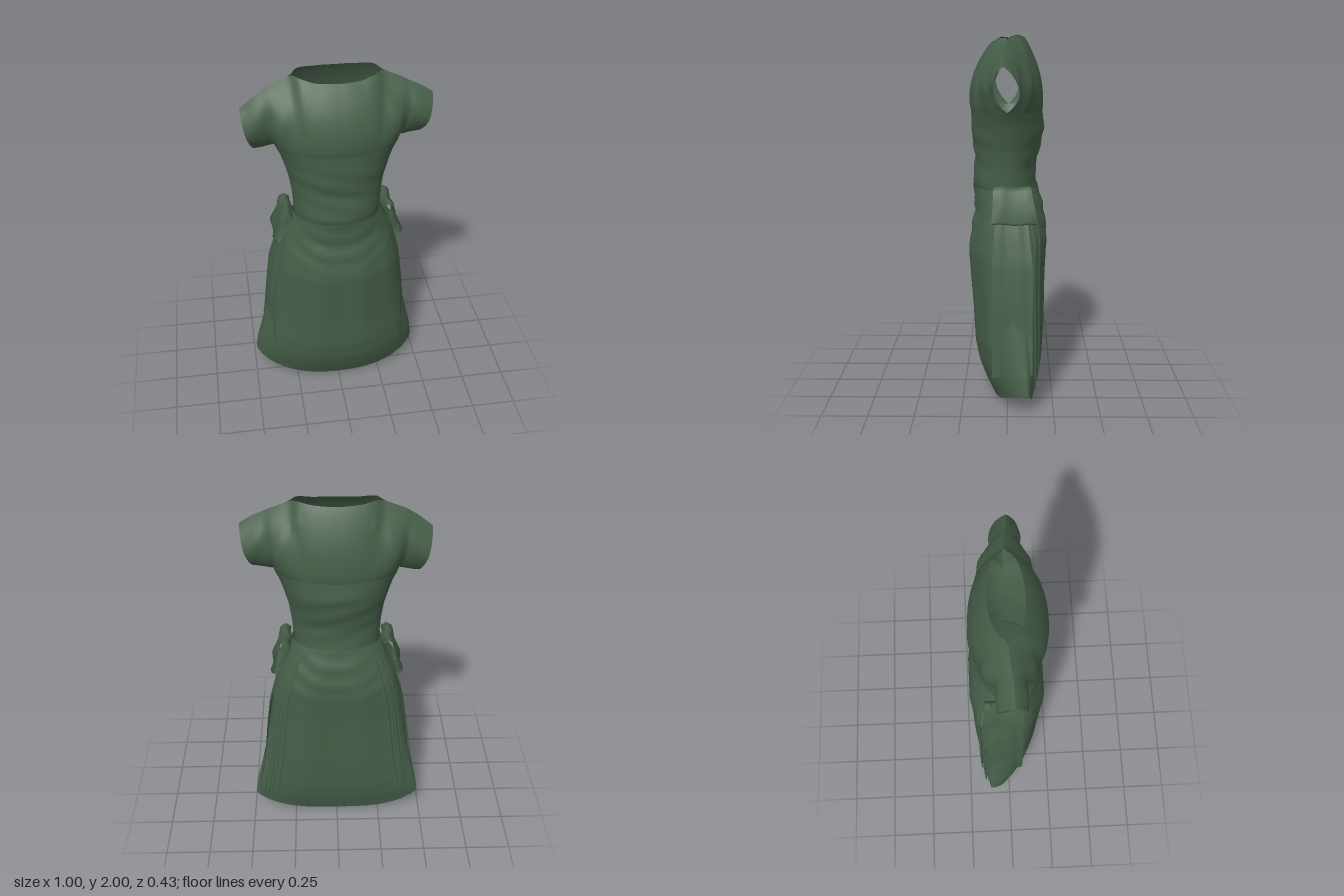
import * as THREE from 'three';

const cloth = new THREE.MeshStandardMaterial({ color: 0x465f49, side: THREE.DoubleSide });
cloth.name = 'forest green cloth';

// Piecewise linear lookup in [key, value] pairs with rising keys
function look(table, k) {
  if (k <= table[0][0]) return table[0][1];
  for (let i = 1; i < table.length; i++) {
    const [a, va] = table[i - 1], [b, vb] = table[i];
    if (k <= b) return va + (vb - va) * (k - a) / (b - a);
  }
  return table[table.length - 1][1];
}

// Smooth sheet from a rule f(u, v) -> [x, y, z]; wrap joins the u ends
function sheet(name, nu, nv, f, wrap = false) {
  const pos = [], idx = [], cols = wrap ? nu : nu + 1;
  for (let j = 0; j <= nv; j++)
    for (let i = 0; i < cols; i++) pos.push(...f(i / nu, j / nv));
  for (let j = 0; j < nv; j++)
    for (let i = 0; i < nu; i++) {
      const a = j * cols + i, b = j * cols + (i + 1) % cols;
      idx.push(a, a + cols, b, b, a + cols, b + cols);
    }
  const g = new THREE.BufferGeometry();
  g.setAttribute('position', new THREE.Float32BufferAttribute(pos, 3));
  g.setIndex(idx);
  g.computeVertexNormals();
  const mesh = new THREE.Mesh(g, cloth);
  mesh.name = name;
  return mesh;
}

const { lerp, smoothstep } = THREE.MathUtils;
const arc = (x, w) => Math.sqrt(Math.max(0, 1 - (x / w) ** 2));
const spow = (v, p) => Math.sign(v) * Math.abs(v) ** p;

// Body profiles by height: half width, front depth, back depth
const waistW = [[1.14, 0.235], [1.2, 0.238], [1.3, 0.245], [1.4, 0.26], [1.5, 0.288], [1.55, 0.305], [1.6, 0.33]];
const waistF = [[1.14, 0.175], [1.2, 0.195], [1.27, 0.19], [1.35, 0.185], [1.45, 0.2], [1.6, 0.205]];
const waistB = [[1.14, 0.165], [1.22, 0.155], [1.3, 0.155], [1.4, 0.18], [1.5, 0.2], [1.6, 0.19]];
const skirtW = [[0, 0.49], [0.1, 0.478], [0.2, 0.455], [0.4, 0.414], [0.6, 0.386], [0.8, 0.36], [0.95, 0.325], [1.08, 0.28], [1.18, 0.245]];
const skirtF = [[0, 0.085], [0.08, 0.125], [0.18, 0.165], [0.3, 0.188], [0.5, 0.198], [0.7, 0.213], [0.82, 0.222], [0.95, 0.205], [1.05, 0.185], [1.18, 0.195]];
const skirtB = [[0, 0.14], [0.1, 0.17], [0.2, 0.188], [0.4, 0.2], [0.7, 0.205], [0.92, 0.218], [1.05, 0.2], [1.18, 0.165]];
// The widest line of the skirt drifts back towards the hem
const skirtMid = [[0, -0.11], [0.2, -0.085], [0.6, -0.05], [0.9, -0.025], [1.18, 0]];

// Skirt section: oval front, squarer back
function skirtPoint(k, a, extra = 0) {
  const c = Math.cos(a), s = Math.sin(a), mid = look(skirtMid, k), front = s > 0;
  const p = front ? 0.95 : look([[0.9, 0.78], [1.18, 0.95]], k);
  const d = front ? look(skirtF, k) - mid : look(skirtB, k) + mid;
  return [look(skirtW, k) * spow(c, p), mid + (d + extra) * spow(s, p)];
}

// Yoke and sleeves: a front and a back panel meeting along shoulder and underarm
const topFront = [[0, 1.96], [0.12, 1.965], [0.22, 1.99], [0.35, 1.935], [0.43, 1.89], [0.5, 1.84]];
const topBack = [[0, 1.985], [0.12, 1.99], [0.2, 2], [0.22, 1.99], [0.35, 1.935], [0.43, 1.89], [0.5, 1.84]];
const puff = [[0, 0.045], [0.2, 0.05], [0.3, 0.072], [0.4, 0.08], [0.5, 0.07]];

function yoke(side) {
  const front = side > 0;
  return sheet(front ? 'frontYoke' : 'backYoke', 48, 18, (u, t) => {
    const s = u * 2 - 1, xb = 0.44 * s, xt = 0.5 * s;
    const end = smoothstep(Math.abs(s), 0.7, 1) * Math.sign(s);
    const x = lerp(xb, xt, t) + 0.012 * end * Math.sin(Math.PI * t), ax = Math.abs(x);
    const y = lerp(1.6 + 0.018 * end, look(front ? topFront : topBack, Math.abs(xt)) + 0.012 * end, t);
    const low = (front ? 0.205 : 0.19) * arc(xb, 0.33);
    const high = 0.092 * arc(xt, 0.23);
    const bulge = look(puff, ax) * (front || ax > 0.2 ? 1 : 0.75);
    const crease = 0.004 * Math.sin(ax * 45 + y * 22) * Math.sin(Math.PI * t) * smoothstep(ax, 0.18, 0.3);
    const ridge = 0.02 * t * smoothstep(ax, 0.25, 0.45);
    return [x, y, ridge + side * (lerp(low, high, t) + bulge * Math.sin(Math.PI * t) ** 0.8 + crease)];
  });
}

function createModel() {
  const dress = new THREE.Group();
  dress.name = 'dress';
  dress.add(yoke(1), yoke(-1));

  // Fitted bodice with slight horizontal creases
  dress.add(sheet('bodice', 72, 24, (u, v) => {
    const a = u * Math.PI * 2, y = lerp(1.6, 1.14, v), s = Math.sin(a);
    const d = look(s > 0 ? waistF : waistB, y);
    const crease = 0.003 * Math.sin(y * 55 + 4 * Math.cos(a)) * Math.sin(Math.PI * v);
    return [look(waistW, y) * Math.cos(a), y, s * (d + crease)];
  }, true));

  // Skirt with draped waist folds, soft vertical folds and a hem rising to the side corners
  dress.add(sheet('skirt', 120, 44, (u, v) => {
    const a = u * Math.PI * 2, c = Math.cos(a), k = 1.18 * (1 - v);
    const fold = 0.005 * Math.cos(a * 10) * Math.sin(Math.PI * v);
    const drape = 0.005 * Math.sin((k - 0.14 * c * c) * 60) * smoothstep(k, 0.8, 0.95) * (1 - smoothstep(k, 1.1, 1.18));
    const [x, z] = skirtPoint(k, a, fold + drape);
    return [x, lerp(1.18, 0.11 * Math.abs(c) ** 2.6, v), z];
  }, true));

  // Side sash outline by height, at its front and back edges
  const sashFront = [[0.15, 0.378], [0.4, 0.374], [0.6, 0.366], [0.8, 0.342], [0.95, 0.312], [1.08, 0.275]];
  const sashBack = [[0.15, 0.468], [0.4, 0.425], [0.6, 0.404], [0.8, 0.38], [0.95, 0.335], [1.08, 0.285]];
  const bow = [[0.25, 1.185], [0.28, 1.21], [0.31, 1.19], [0.322, 1.12], [0.36, 1.03], [0.335, 1.015], [0.3, 1.07], [0.262, 1.13]];
  for (const m of [1, -1]) {
    const tie = new THREE.Group();
    tie.name = m > 0 ? 'leftTie' : 'rightTie';

    // Folded bow loop at the hip
    tie.add(sheet('bowLoop', 8, 6, (u, v) => {
      const [x, y] = bow[Math.round(u * 8) % 8], low = (1.21 - y) / 0.19;
      const wave = 0.005 * Math.sin(v * 9);
      return [m * (x + wave), y + wave, lerp(0.075 + 0.01 * low, -0.125 - 0.03 * low, v)];
    }, true));

    // Wide sash end lying over the side of the skirt
    tie.add(sheet('sashEnd', 14, 20, (u, v) => {
      const z = lerp(0.085, -0.135, u), y = lerp(1.08, m > 0 ? 0.17 + 0.05 * u : 0.2 + 0.16 * u, v);
      const belly = 0.014 * Math.sin(Math.PI * u), pleat = 0.002 * Math.cos(u * 18);
      return [m * (lerp(look(sashFront, y), look(sashBack, y), u) + belly + pleat), y, z * lerp(0.75, 1, Math.min(1, v * 3))];
    }));

    // Narrow pleated tails hanging behind the hip, following the skirt section
    for (const i of [0, 1]) {
      tie.add(sheet('tail', 6, 16, (u, v) => {
        const y = lerp(1.1, 0.12 + 0.08 * i, v);
        const [x, z] = skirtPoint(y, -0.42 - 0.22 * i - 0.16 * u);
        return [m * (x + 0.004), y, z - 0.008 - 0.004 * Math.cos(u * 9)];
      }));
    }
    dress.add(tie);
  }
  return dress;
}

export { createModel };
